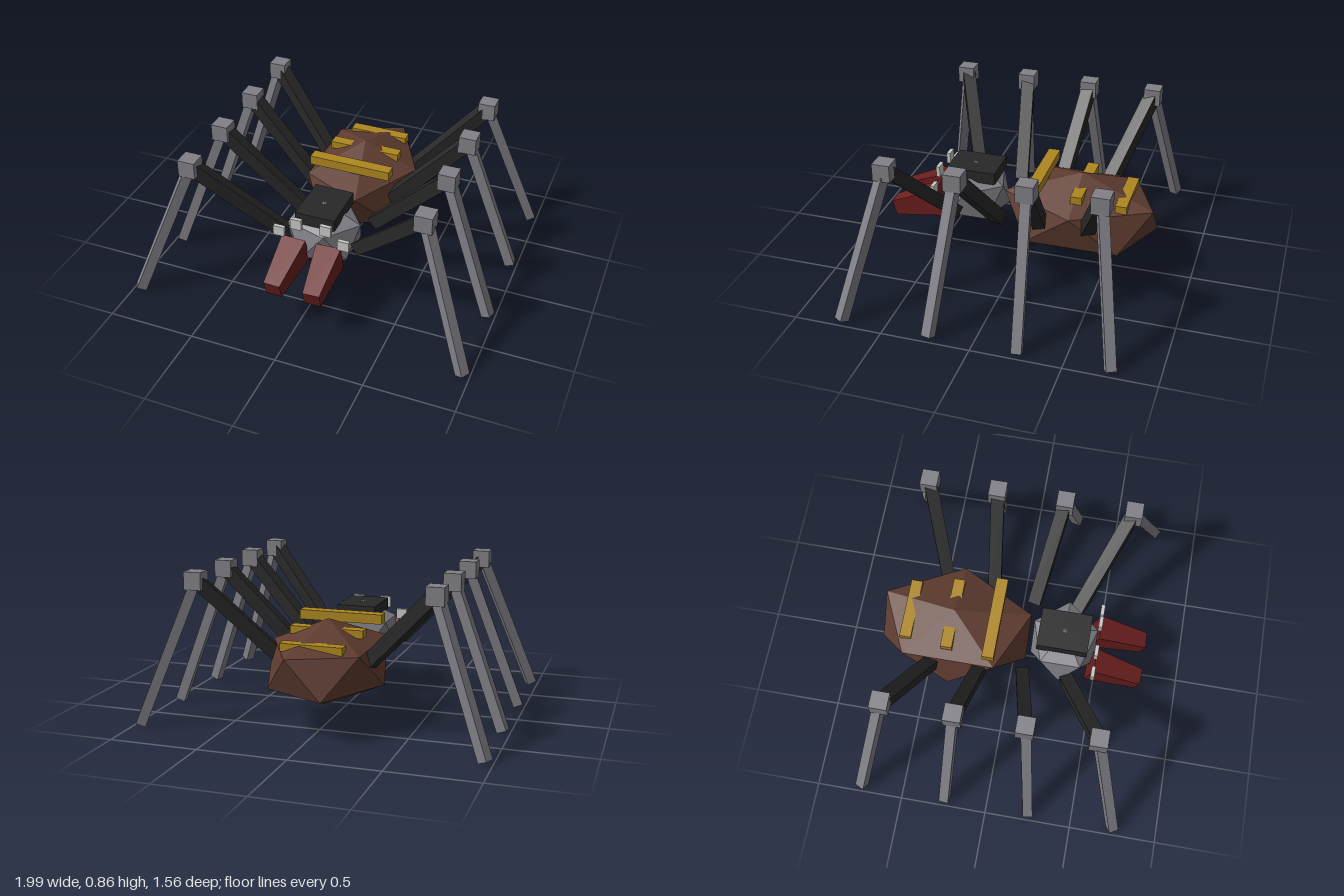
import * as THREE from 'three';
import { ConvexGeometry } from 'three/addons/geometries/ConvexGeometry.js';

const mat = (name, color) => {
  const m = new THREE.MeshStandardMaterial({ color });
  m.name = name;
  return m;
};

export function createModel() {
  const model = new THREE.Group();
  model.name = 'spider';
  const brown = mat('brown shell', 0x5f3c30);
  const gray = mat('steel gray', 0x808087);
  const black = mat('dark joint', 0x282828);
  const red = mat('dark red', 0x6a1e1e);
  const gold = mat('gold stripe', 0xae871f);
  const white = mat('pale eye', 0xc8c8c6);

  const add = (name, geometry, material, x = 0, y = 0, z = 0) => {
    const mesh = new THREE.Mesh(geometry, material);
    mesh.name = name;
    mesh.position.set(x, y, z);
    model.add(mesh);
    return mesh;
  };
  const box = (name, material, w, h, d, x, y, z) =>
    add(name, new THREE.BoxGeometry(w, h, d), material, x, y, z);

  // Stretched icosahedron standing on one vertex
  const faceted = (rx, ry, rz) => {
    const pts = [new THREE.Vector3(0, ry, 0), new THREE.Vector3(0, -ry, 0)];
    for (let i = 0; i < 10; i++) {
      const a = (i * Math.PI) / 5;
      const side = i % 2 ? -1 : 1;
      pts.push(new THREE.Vector3(0.8944 * rx * Math.cos(a), 0.4472 * ry * side, 0.8944 * rz * Math.sin(a)));
    }
    return new ConvexGeometry(pts);
  };

  // Beam between two points; endScale tapers the far end
  const beam = (name, material, from, to, w, h, endW = w, endH = h) => {
    const a = new THREE.Vector3(...from), b = new THREE.Vector3(...to);
    const len = a.distanceTo(b);
    const g = new THREE.BoxGeometry(w, h, len);
    const p = g.attributes.position;
    for (let i = 0; i < p.count; i++) {
      if (p.getZ(i) > 0) p.setXY(i, (p.getX(i) * endW) / w, (p.getY(i) * endH) / h);
    }
    g.computeVertexNormals();
    const mesh = add(name, g, material);
    mesh.position.copy(a).add(b).multiplyScalar(0.5);
    mesh.lookAt(b);
    return mesh;
  };

  // Body
  add('abdomen', faceted(0.358, 0.242, 0.505), brown, 0, 0.35, -0.345);
  add('head', faceted(0.24, 0.19, 0.218), gray, 0, 0.378, 0.293);
  box('headPlate', black, 0.23, 0.07, 0.29, 0, 0.526, 0.29);

  // Stripes across the abdomen
  box('frontStripe', gold, 0.485, 0.055, 0.068, 0, 0.556, -0.112);
  box('middleStripe', gold, 0.42, 0.045, 0.066, 0, 0.524, -0.358);
  box('rearStripe', gold, 0.35, 0.045, 0.066, 0, 0.486, -0.605);

  // Knee z, hip z and foot z for each pair of legs
  const legs = [
    [0.345, 0.567, 0.745],
    [0.085, 0.176, 0.245],
    [-0.16, -0.212, -0.248],
    [-0.425, -0.605, -0.745],
  ];

  for (const s of [1, -1]) {
    // Eyes
    box('upperEye', white, 0.065, 0.065, 0.022, s * 0.087, 0.526, 0.486);
    box('lowerEye', white, 0.065, 0.06, 0.022, s * 0.19, 0.455, 0.486);

    // Jaws
    beam('jaw', red, [s * 0.102, 0.35, 0.467], [s * 0.114, 0.264, 0.757], 0.143, 0.167, 0.095, 0.09);

    // Legs
    for (const [hipZ, kneeZ, footZ] of legs) {
      const knee = [s * 0.665, 0.814, kneeZ];
      beam('upperLeg', black, [s * 0.225, 0.352, hipZ], knee, 0.075, 0.075);
      box('knee', gray, 0.098, 0.098, 0.098, ...knee);
      beam('lowerLeg', gray, knee, [s * 0.96, 0.014, footZ], 0.056, 0.056);
    }
  }
  return model;
}
